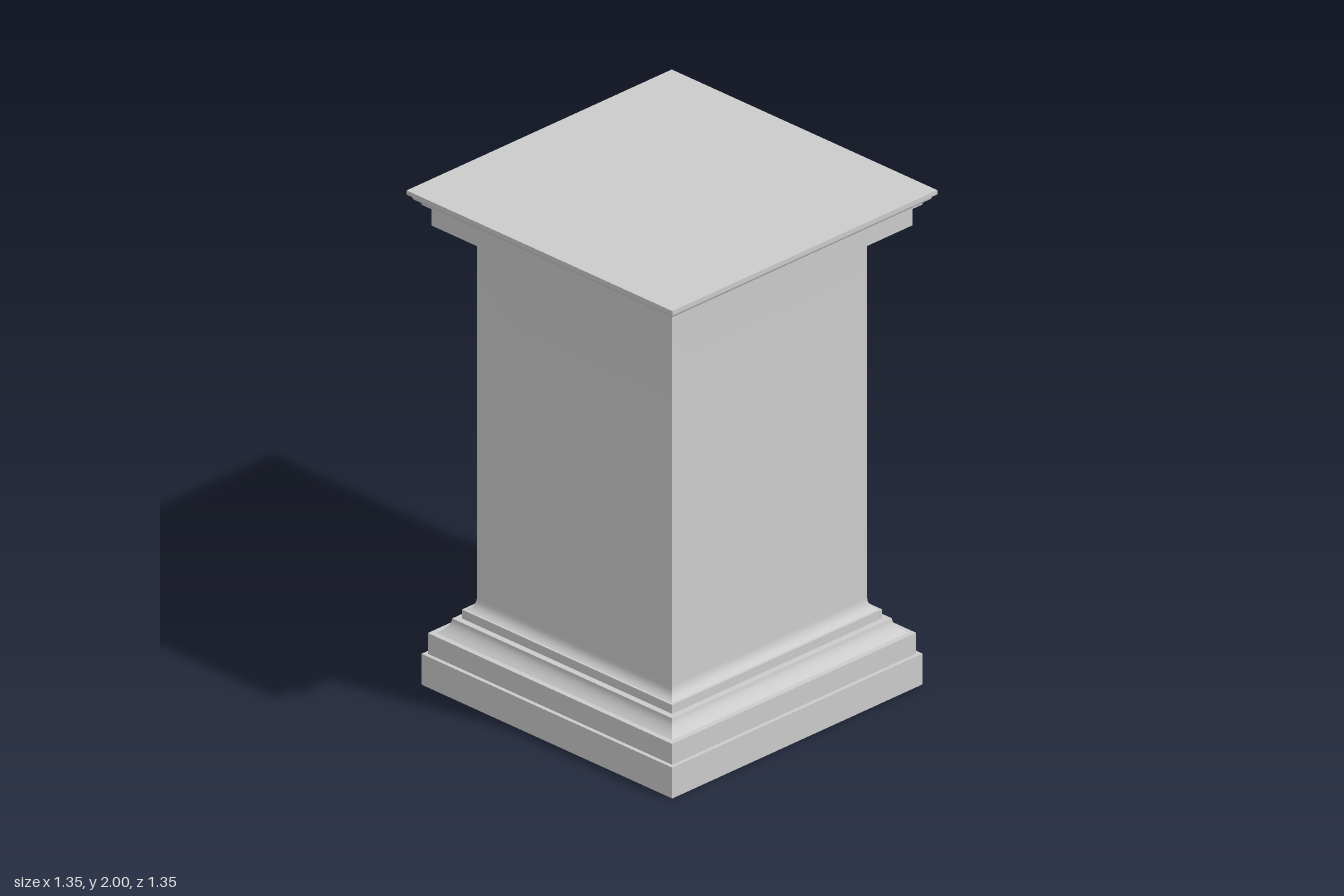
import * as THREE from 'three';
import { toCreasedNormals } from 'three/addons/utils/BufferGeometryUtils.js';

const material = new THREE.MeshStandardMaterial({ color: 0xcccccc, side: THREE.DoubleSide });

// Sweep a [half width, height] profile, listed bottom to top, around a square
function squareMoulding(name, profile) {
  const points = profile.map(([w, y]) => new THREE.Vector2(w * Math.SQRT2, y));
  const geometry = new THREE.LatheGeometry(points, 4, Math.PI / 4);
  const mesh = new THREE.Mesh(toCreasedNormals(geometry, 0.6), material);
  mesh.name = name;
  return mesh;
}

// Curved stretch of a profile from a to b, pulled toward the control point c
function curve(a, c, b, steps = 8) {
  const bend = new THREE.QuadraticBezierCurve(
    new THREE.Vector2(...a), new THREE.Vector2(...c), new THREE.Vector2(...b));
  return bend.getPoints(steps).map((p) => [p.x, p.y]);
}

export function createModel() {
  const group = new THREE.Group();
  group.name = 'pedestal';

  // Two stepped blocks, open underneath
  group.add(squareMoulding('plinth', [
    [0.638, 0], [0.638, 0.125], [0.622, 0.125], [0.622, 0.209], [0.6, 0.209],
  ]));

  // Sloping cove and the narrow band above it
  group.add(squareMoulding('baseMoulding', [
    ...curve([0.6, 0.209], [0.562, 0.236], [0.56, 0.268]),
    [0.535, 0.268], [0.535, 0.304], [0.525, 0.304],
  ]));

  // Hollow shaft with a flared foot
  group.add(squareMoulding('shaft', [
    ...curve([0.525, 0.304], [0.497, 0.318], [0.497, 0.355]),
    [0.497, 1.792],
  ]));

  // Rounded moulding under the cap
  group.add(squareMoulding('neckMoulding', [
    [0.497, 1.792], [0.512, 1.792], [0.512, 1.808],
    ...curve([0.512, 1.808], [0.557, 1.812], [0.56, 1.858]),
  ]));

  // Flat band and the flaring cornice
  group.add(squareMoulding('cornice', [
    [0.56, 1.858], [0.613, 1.858], [0.613, 1.942], [0.638, 1.942], [0.638, 1.955],
    ...curve([0.638, 1.955], [0.661, 1.957], [0.663, 1.975]),
    [0.663, 1.983], [0.676, 1.983], [0.676, 2],
  ]));

  // Top face
  const top = new THREE.Mesh(new THREE.PlaneGeometry(1.352, 1.352), material);
  top.name = 'topFace';
  top.rotation.x = -Math.PI / 2;
  top.position.y = 2;
  group.add(top);

  return group;
}
